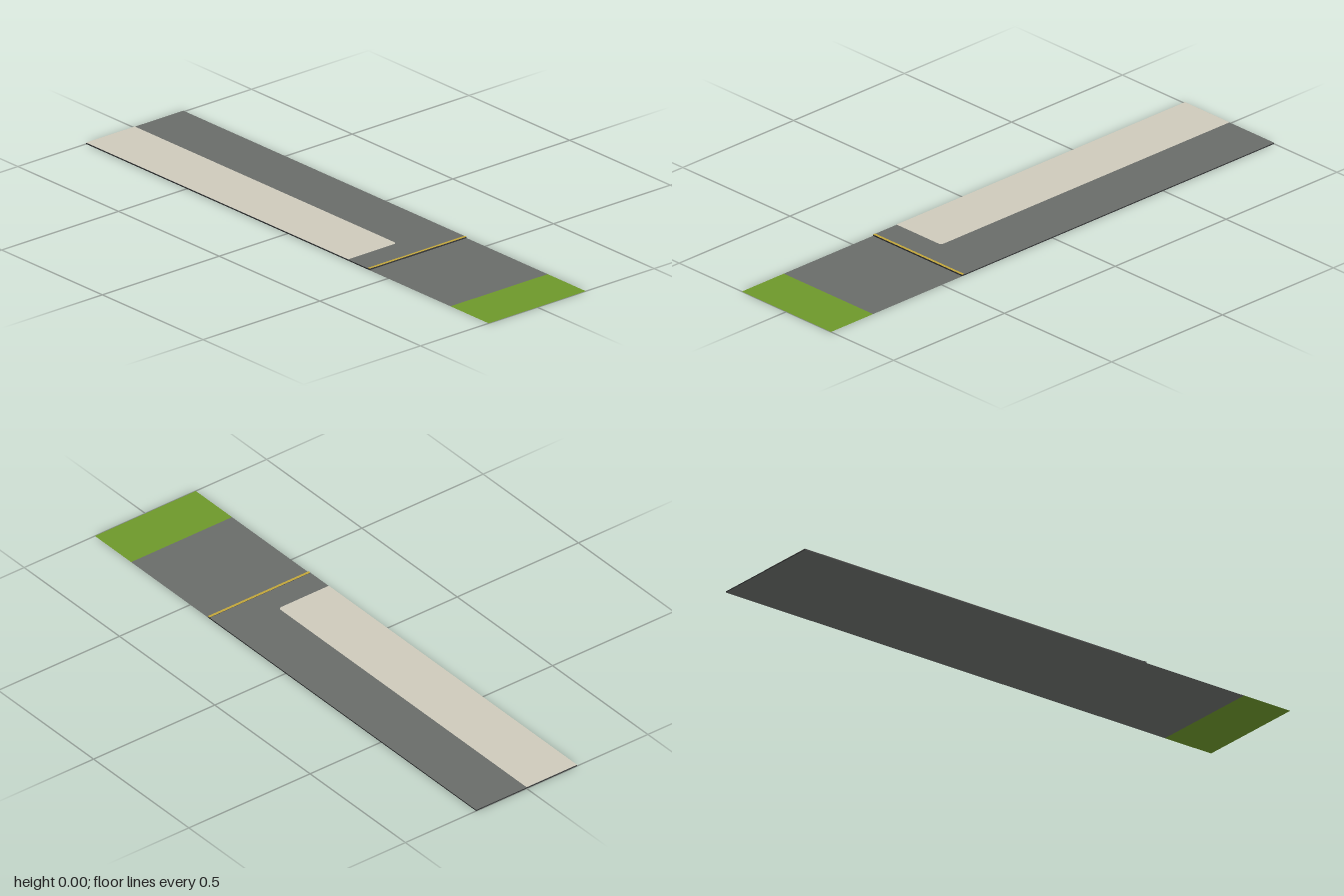
import * as THREE from 'three';

const mat = (name, color, side = THREE.FrontSide) => {
  const m = new THREE.MeshStandardMaterial({ color, side });
  m.name = name;
  return m;
};

export function createModel() {
  const group = new THREE.Group();
  const asphalt = mat('asphalt grey', 0x696c69, THREE.DoubleSide);
  const edge = mat('dark edge', 0x353637);
  const paving = mat('paving beige', 0xcdc9ba, THREE.DoubleSide);
  const grass = mat('grass green', 0x6d972a, THREE.DoubleSide);
  const yellow = mat('line yellow', 0xc0a43a);

  const D = 0.208; // half depth
  const H = 0.004; // slab height
  const add = (name, geometry, material) => {
    const mesh = new THREE.Mesh(geometry, material);
    mesh.name = name;
    group.add(mesh);
    return mesh;
  };
  // Flat sheet lying between x0 and x1
  const sheet = (name, x0, x1, y, material) =>
    add(name, new THREE.PlaneGeometry(x1 - x0, 2 * D).rotateX(-Math.PI / 2)
      .translate((x0 + x1) / 2, y, 0), material);
  // Box with its own top colour and dark sides
  const slab = (name, x0, x1, h, top, bottom) =>
    add(name, new THREE.BoxGeometry(x1 - x0, h, 2 * D).translate((x0 + x1) / 2, h / 2, 0),
      [edge, edge, top, bottom, edge, edge]);

  // Raised road, narrow marked lip, lower apron and grass verge
  slab('road', -1, 0.398, H, asphalt, asphalt);
  slab('markedLip', 0.398, 0.408, H + 0.001, yellow, asphalt);
  sheet('apron', 0.408, 0.81, 0, asphalt);
  sheet('grassVerge', 0.81, 1, 0, grass);

  // Paved strip along the front half, with one softly rounded corner
  const r = 0.014, end = 0.302;
  const s = new THREE.Shape();
  s.moveTo(-1, -D);
  s.lineTo(end, -D);
  s.lineTo(end, -r);
  s.quadraticCurveTo(end, 0, end - r, 0);
  s.lineTo(-1, 0);
  s.closePath();
  add('pavedStrip', new THREE.ShapeGeometry(s, 8).rotateX(-Math.PI / 2)
    .translate(0, H + 0.001, 0), paving);

  return group;
}
